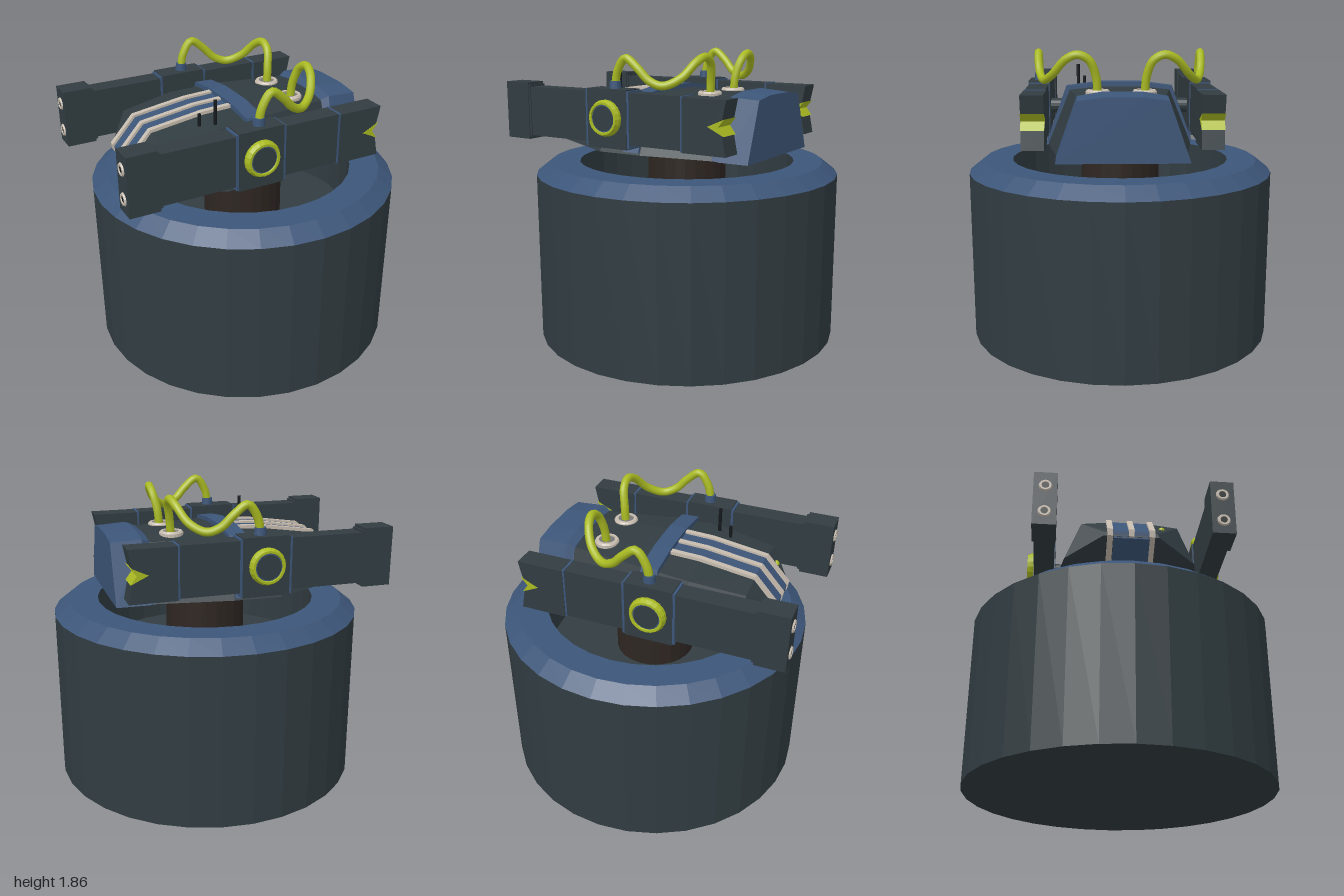
import * as THREE from 'three';

const mat = (color, side = THREE.FrontSide) =>
  new THREE.MeshStandardMaterial({ color, flatShading: true, side });
const dark = mat(0x313c41), blue = mat(0x3c5578), beige = mat(0xc6bbae),
  brown = mat(0x2e2622), black = mat(0x15191b), grey = mat(0x777777);
const lime = new THREE.MeshStandardMaterial({ color: 0xa9ba22 });
const limeFlat = mat(0xa9ba22);

function add(parent, name, geometry, material, x = 0, y = 0, z = 0) {
  const m = new THREE.Mesh(geometry, material);
  m.name = name;
  m.position.set(x, y, z);
  parent.add(m);
  return m;
}
const lathe = (pts, n) => new THREE.LatheGeometry(pts.map(p => new THREE.Vector2(...p)), n);

// side outline in x,y given a width along z
function slab(pts, width) {
  const g = new THREE.ExtrudeGeometry(new THREE.Shape(pts.map(p => new THREE.Vector2(...p))),
    { depth: width, bevelEnabled: false });
  return g.translate(0, 0, -width / 2);
}

// hull through sections [x, bottomY, bottomZ, shoulderY, shoulderZ, crownY, crownZ]
function loft(sections) {
  const rings = sections.map(([x, yb, zb, ys, zs, yc, zc]) =>
    [[zb, yb], [zs, ys], [zc, yc], [-zc, yc], [-zs, ys], [-zb, yb]].map(([z, y]) => [x, y, z]));
  const pos = [];
  const tri = (...p) => p.forEach(v => pos.push(...v));
  for (let s = 0; s < rings.length - 1; s++) {
    const a = rings[s], b = rings[s + 1];
    for (let i = 0; i < 6; i++) {
      const j = (i + 1) % 6;
      tri(a[i], b[i], b[j]);
      tri(a[i], b[j], a[j]);
    }
  }
  const first = rings[0], last = rings[rings.length - 1];
  for (let k = 1; k < 5; k++) {
    tri(first[0], first[k], first[k + 1]);
    tri(last[0], last[k + 1], last[k]);
  }
  const g = new THREE.BufferGeometry();
  g.setAttribute('position', new THREE.Float32BufferAttribute(pos, 3));
  g.computeVertexNormals();
  return g;
}

function buildBase() {
  const base = new THREE.Group();
  base.name = 'base';
  base.position.x = 0.015;
  add(base, 'drum', lathe([[0, 0], [0.98, 0], [0.98, 1.08]], 32), dark);
  add(base, 'rim', lathe([[0.98, 1.08], [0.885, 1.155], [0.7, 1.155]], 32), blue);
  add(base, 'well', lathe([[0.7, 1.155], [0.7, 0.8], [0, 0.8]], 32), dark);
  add(base, 'neck', new THREE.CylinderGeometry(0.255, 0.255, 0.5, 24), brown, 0, 1.05, 0);
  return base;
}

function buildHull() {
  const hull = new THREE.Group();
  hull.name = 'hull';
  add(hull, 'body', loft([
    [-0.81, 1.36, 0.17, 1.385, 0.16, 1.395, 0.12],
    [-0.67, 1.275, 0.4, 1.53, 0.3, 1.55, 0.13],
    [-0.33, 1.235, 0.48, 1.575, 0.345, 1.598, 0.13],
    [-0.03, 1.235, 0.47, 1.59, 0.325, 1.61, 0.13],
    [0.46, 1.235, 0.395, 1.58, 0.25, 1.6, 0.12]]), dark);
  // raised collar and rear hood
  add(hull, 'collar', loft([
    [-0.145, 1.25, 0.485, 1.61, 0.35, 1.638, 0.13],
    [-0.035, 1.25, 0.48, 1.61, 0.34, 1.638, 0.13]]), blue);
  add(hull, 'hood', loft([
    [0.44, 1.237, 0.4, 1.585, 0.25, 1.605, 0.12],
    [0.49, 1.232, 0.4, 1.605, 0.27, 1.63, 0.12],
    [0.68, 1.232, 0.395, 1.595, 0.265, 1.615, 0.12]]), blue);

  // stripes folding over the nose
  const nose = [[-0.14, 1.625], [-0.33, 1.617], [-0.675, 1.567], [-0.822, 1.405],
    [-0.815, 1.36], [-0.67, 1.262], [-0.6, 1.3], [-0.6, 1.5], [-0.14, 1.55]];
  add(hull, 'nosePanel', slab(nose.map(([x, y]) => [x + 0.008, y - 0.012]), 0.22), blue);
  for (const z of [-0.13, 0, 0.125]) add(hull, 'noseStripe', slab(nose, 0.035), beige, 0, 0, z);

  // antennas and nose lamp
  add(hull, 'tallAntenna', new THREE.CylinderGeometry(0.011, 0.011, 0.18, 8), black, -0.315, 1.645, 0.275);
  add(hull, 'shortAntenna', new THREE.CylinderGeometry(0.011, 0.011, 0.1, 8), black, -0.4, 1.6, 0.235);
  add(hull, 'noseLamp', new THREE.SphereGeometry(0.022, 10, 8), limeFlat, -0.715, 1.475, 0.195);

  // hose sockets
  for (const s of [1, -1]) {
    add(hull, 'hoseRing', lathe([[0.075, 1.58], [0.075, 1.61], [0.067, 1.62], [0.05, 1.62], [0.05, 1.6]], 20),
      beige, 0.275, 0, s * 0.145);
    add(hull, 'hoseSeat', new THREE.CylinderGeometry(0.052, 0.052, 0.03, 20), grey, 0.275, 1.597, s * 0.145);
  }
  return hull;
}

function buildGun(s) {
  const gun = new THREE.Group();
  gun.name = s > 0 ? 'frontGun' : 'backGun';
  gun.position.z = s * 0.525;
  const block = (name, x0, x1, y0, y1, w, m) =>
    add(gun, name, new THREE.BoxGeometry(x1 - x0, y1 - y0, w), m, (x0 + x1) / 2, (y0 + y1) / 2, 0);
  block('muzzle', -1, -0.815, 1.29, 1.655, 0.142, dark);
  block('muzzleCollar', -0.815, -0.8, 1.305, 1.64, 0.134, dark);
  block('barrel', -0.8, 0.355, 1.315, 1.628, 0.125, dark);
  block('centreBlock', -0.33, -0.035, 1.285, 1.645, 0.14, dark);
  for (const x of [-0.345, -0.035]) block('centreTrim', x, x + 0.015, 1.292, 1.638, 0.134, blue);
  block('rearTrim', 0.343, 0.357, 1.308, 1.63, 0.131, blue);

  // notched rear block with bright wedge
  add(gun, 'rearBlock', slab([[0.355, 1.305], [0.645, 1.305], [0.622, 1.42], [0.53, 1.47],
    [0.622, 1.515], [0.645, 1.625], [0.355, 1.625]], 0.136), dark);
  add(gun, 'rearWedge', slab([[0.525, 1.47], [0.632, 1.42], [0.595, 1.47], [0.632, 1.517]], 0.139), limeFlat);

  // twin bores
  for (const y of [1.56, 1.38]) {
    const ring = new THREE.TorusGeometry(0.029, 0.011, 6, 16).rotateY(Math.PI / 2);
    add(gun, 'boreRing', ring, beige, -1, y, 0);
    add(gun, 'bore', new THREE.CylinderGeometry(0.026, 0.026, 0.01, 16).rotateZ(Math.PI / 2), black, -1, y, 0);
  }

  // outer knob and inner axle
  const turn = s * Math.PI / 2;
  add(gun, 'knobRing', lathe([[0.112, 0.06], [0.112, 0.09], [0.1, 0.113], [0.086, 0.113], [0.082, 0.1]], 20)
    .rotateX(turn), limeFlat, -0.185, 1.47, 0);
  add(gun, 'knobRim', new THREE.CylinderGeometry(0.086, 0.086, 0.04, 20).rotateX(turn), blue, -0.185, 1.47, s * 0.084);
  add(gun, 'knobFace', new THREE.CylinderGeometry(0.076, 0.076, 0.04, 20).rotateX(turn), dark, -0.185, 1.47, s * 0.088);
  add(gun, 'axle', new THREE.CylinderGeometry(0.05, 0.05, 0.2, 16).rotateX(turn), dark, -0.185, 1.47, -s * 0.11);
  add(gun, 'gunSocket', new THREE.CylinderGeometry(0.034, 0.038, 0.06, 14), blue, -0.165, 1.66, 0);
  return gun;
}

// hose from gun to hull
function buildHose(s) {
  const path = [[-0.167, 1.65, 0.525], [-0.145, 1.75, 0.527], [-0.085, 1.828, 0.527], [0, 1.77, 0.522],
    [0.07, 1.7, 0.508], [0.15, 1.67, 0.48], [0.24, 1.715, 0.42], [0.295, 1.805, 0.34],
    [0.312, 1.835, 0.265], [0.308, 1.8, 0.195], [0.288, 1.7, 0.155], [0.278, 1.59, 0.145]];
  const curve = new THREE.CatmullRomCurve3(path.map(([x, y, z]) => new THREE.Vector3(x, y, z * s)));
  const m = new THREE.Mesh(new THREE.TubeGeometry(curve, 60, 0.026, 10), lime);
  m.name = 'hose';
  return m;
}

export function createModel() {
  const model = new THREE.Group();
  model.name = 'turret';
  model.add(buildBase(), buildHull());
  for (const s of [1, -1]) model.add(buildGun(s), buildHose(s));
  return model;
}
